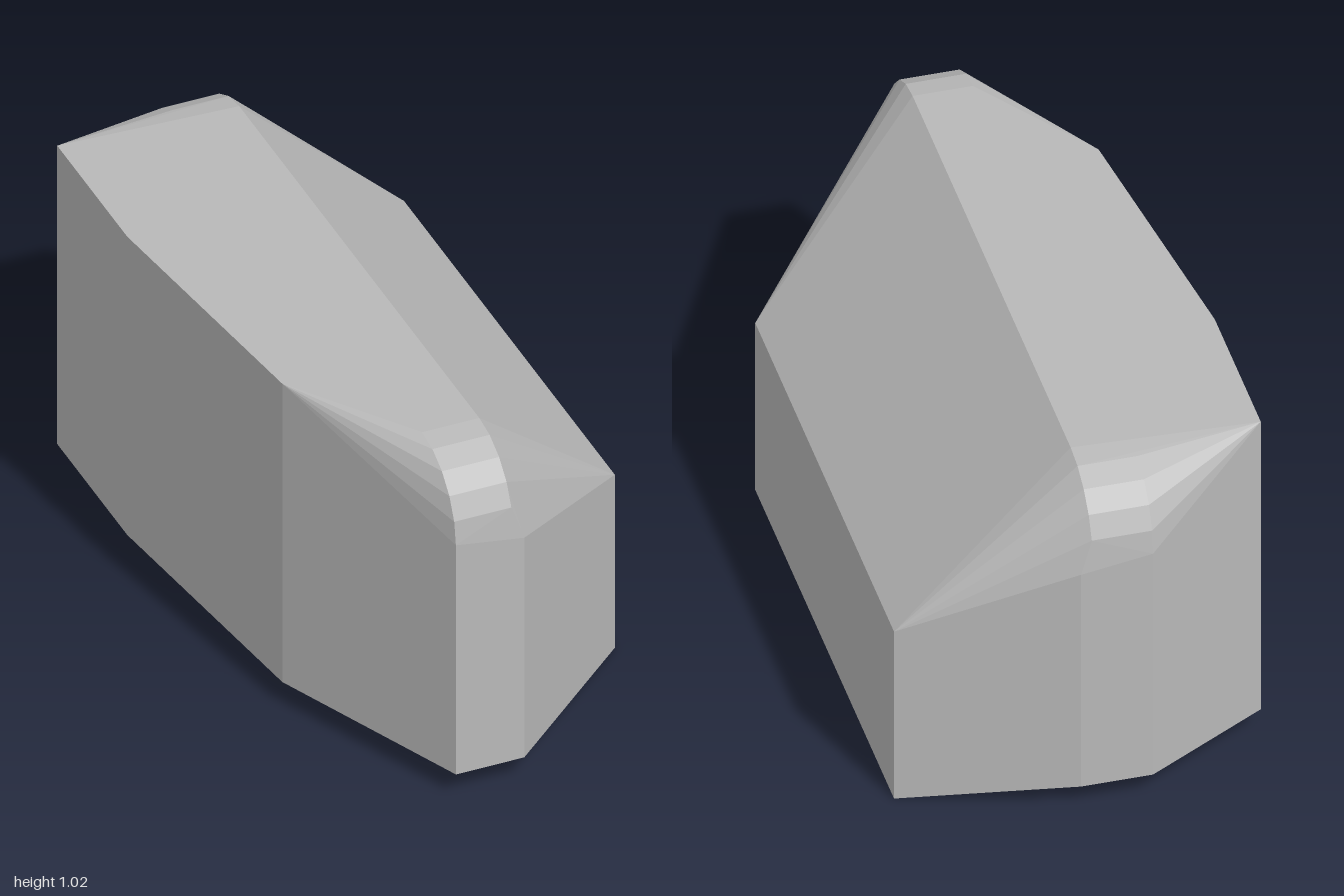
import * as THREE from 'three';
import { ConvexGeometry } from 'three/addons/geometries/ConvexGeometry.js';

export function createModel() {
  const group = new THREE.Group();
  group.name = 'facetedBlock';
  const grey = new THREE.MeshStandardMaterial({ color: 0xb8b8b8 });
  grey.name = 'plain grey';

  const points = [];
  const add = (x, y, z) => points.push(new THREE.Vector3(x, y, z));
  const base = 0.072, top = 1.02, radius = 0.22;

  // tall side wall corners, from the base up to the flat top
  for (const [x, z] of [[-0.5, -0.805], [-0.5, -0.35], [-0.4, 0.43]]) {
    add(x, base, z);
    add(x, top, z);
  }

  // low side wall
  for (const z of [0.54, -0.83]) {
    add(0.5, 0, z);
    add(0.5, 0.55, z);
  }

  // narrow end faces with rounded upper edges
  for (const s of [1, -1]) {
    add(-0.155, base, s);
    add(0.04, base, s);
    add(0.04, 0.77, s);
    for (let i = 0; i <= 5; i++) {
      const a = (i / 5) * Math.PI / 2;
      const y = top - radius + radius * Math.sin(a);
      const z = s * (1 - radius + radius * Math.cos(a));
      add(-0.155, y, z);
      if (i > 0) add(0.008, y, z);
    }
  }

  const body = new THREE.Mesh(new ConvexGeometry(points), grey);
  body.name = 'body';
  group.add(body);
  return group;
}
